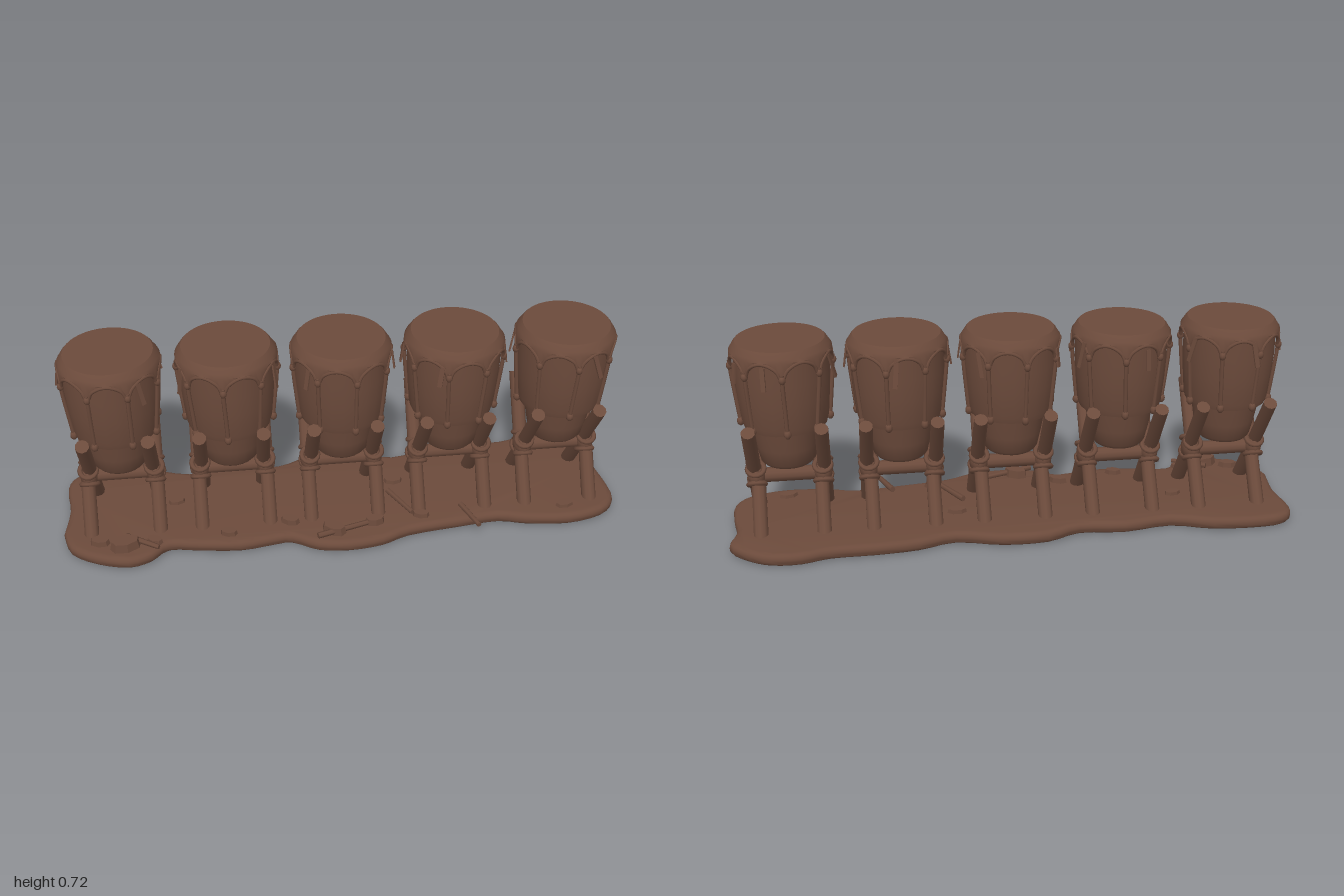
import * as THREE from 'three';
import { toCreasedNormals, mergeGeometries } from 'three/addons/utils/BufferGeometryUtils.js';

const V = (x, y, z) => new THREE.Vector3(x, y, z);
const STRAPS = 8;

// Small seeded random, for hand-made irregularity
let seed = 7;
const rand = (a, b) => {
  seed = (seed * 16807) % 2147483647;
  return a + (b - a) * (seed / 2147483647);
};

export function createModel() {
  const wood = new THREE.MeshStandardMaterial({ color: 0x6b4a3b });
  wood.name = 'dark brown';
  wood.side = THREE.DoubleSide;
  const model = new THREE.Group();
  model.name = 'drumRow';

  const add = (parent, name, geometry) => {
    const mesh = new THREE.Mesh(geometry, wood);
    mesh.name = name;
    parent.add(mesh);
    return mesh;
  };

  // Round pole between two points
  const pole = (parent, name, a, b, r0, r1 = r0, sides = 10) => {
    const mesh = add(parent, name, new THREE.CylinderGeometry(r1, r0, a.distanceTo(b), sides));
    mesh.position.copy(a).lerp(b, 0.5);
    mesh.quaternion.setFromUnitVectors(V(0, 1, 0), b.clone().sub(a).normalize());
    return mesh;
  };

  const lathe = (profile, segments) =>
    new THREE.LatheGeometry(profile.map(([r, y]) => new THREE.Vector2(r, y)), segments);

  // Point on the drum wall: angle, height, radius
  const around = (t, y, r) => V(Math.sin(t) * r, y, Math.cos(t) * r);
  const scallop = (t) => 0.628 + 0.057 * Math.pow(Math.abs(Math.sin(t * STRAPS / 2)), 0.6);

  function makeDrum() {
    const drum = new THREE.Group();
    drum.name = 'drum';

    // Tapering shell with a narrower foot
    add(drum, 'shell', toCreasedNormals(lathe([
      [0, 0.272], [0.085, 0.272], [0.096, 0.285], [0.108, 0.34], [0.12, 0.41],
      [0.143, 0.418], [0.149, 0.44], [0.157, 0.53], [0.161, 0.6], [0.16, 0.7],
    ], 24), 0.6));

    // Hide stretched over the top, its lower edge cut in arches
    const skin = lathe([
      [0.171, 0.628], [0.172, 0.69], [0.165, 0.7], [0.158, 0.712], [0.15, 0.721], [0, 0.722],
    ], 64);
    const p = skin.attributes.position;
    for (let i = 0; i < p.count; i++) {
      if (p.getY(i) < 0.65) p.setY(i, scallop(Math.atan2(p.getX(i), p.getZ(i))));
    }
    add(drum, 'skin', toCreasedNormals(skin, 0.7));

    // Rolled hem along the arches
    const hem = [];
    for (let i = 0; i < 64; i++) {
      const t = (i / 64) * Math.PI * 2;
      hem.push(around(t, scallop(t), 0.17));
    }
    add(drum, 'hem', new THREE.TubeGeometry(new THREE.CatmullRomCurve3(hem, true), 128, 0.006, 6, true));

    // Straps with knots at both ends
    const straps = [], knots = [];
    for (let i = 0; i < STRAPS; i++) {
      const t = (i / STRAPS) * Math.PI * 2;
      const sway = rand(-0.04, 0.04);
      const path = new THREE.CatmullRomCurve3([
        around(t, 0.65, 0.172), around(t, 0.6, 0.169),
        around(t + sway / 2, 0.52, 0.161), around(t + sway, 0.425, 0.151),
      ]);
      straps.push(new THREE.TubeGeometry(path, 10, 0.0075, 6));
      for (const [y, r, s, a] of [[0.632, 0.172, 0.012, t], [0.43, 0.152, 0.013, t + sway]]) {
        const k = around(a, y, r);
        knots.push(new THREE.SphereGeometry(s, 8, 6).scale(1, 1.3, 1).translate(k.x, k.y, k.z));
      }
    }
    add(drum, 'straps', mergeGeometries(straps));
    add(drum, 'knots', mergeGeometries(knots));

    // Loose ends of hide hanging from the hem
    for (let i = 0; i < 4; i++) {
      const t = (i + 0.5) * Math.PI / 2 + rand(-0.5, 0.5);
      const end = add(drum, 'looseEnd', new THREE.BoxGeometry(0.016, rand(0.06, 0.1), 0.006));
      end.position.copy(around(t, 0.635, 0.178));
      end.rotation.set(-0.15, t, rand(-0.35, 0.35), 'YXZ');
    }
    return drum;
  }

  function makeStand() {
    const stand = new THREE.Group();
    stand.name = 'stand';
    for (const side of [-1, 1]) {
      const x = side * 0.115;
      // Crossed legs, slightly offset from one another
      for (const dir of [-1, 1]) {
        const dx = x + side * dir * 0.006;
        pole(stand, 'leg', V(dx, 0.02, dir * 0.138), V(dx, 0.44, -dir * 0.143), 0.026, 0.024);
      }
      // Lashing around the crossing
      const lash = add(stand, 'lashing', new THREE.SphereGeometry(0.05, 12, 8));
      lash.scale.set(0.68, 0.95, 1.05);
      lash.position.set(x, 0.222, 0);
      for (const dir of [-1, 1]) {
        const wrap = add(stand, 'wrap', new THREE.TorusGeometry(0.029, 0.009, 6, 14));
        wrap.position.set(x, 0.222 + 0.03, dir * 0.025);
        wrap.rotation.x = Math.PI / 2 + dir * 0.6;
        const lower = wrap.clone();
        lower.position.y = 0.192;
        lower.rotation.x = Math.PI / 2 - dir * 0.6;
        stand.add(lower);
      }
    }
    pole(stand, 'crossbar', V(-0.115, 0.215, 0), V(0.115, 0.215, 0), 0.026);
    return stand;
  }

  // Five drums in a row
  for (let i = -2; i <= 2; i++) {
    const drum = makeDrum();
    drum.rotation.y = 0.2 + i * 0.31;
    const unit = new THREE.Group();
    unit.name = 'drumOnStand';
    unit.add(drum, makeStand());
    unit.position.x = i * 0.39;
    model.add(unit);
  }

  // Earth base with a wavy outline (x, z)
  const outline = [
    [-1, 0.1], [-0.97, 0.19], [-0.88, 0.25], [-0.77, 0.28], [-0.69, 0.255], [-0.63, 0.205],
    [-0.52, 0.22], [-0.38, 0.235], [-0.27, 0.22], [-0.2, 0.215], [-0.11, 0.265], [0, 0.28],
    [0.12, 0.265], [0.22, 0.225], [0.4, 0.2], [0.55, 0.185], [0.65, 0.21], [0.8, 0.225],
    [0.93, 0.195], [0.99, 0.13], [0.99, 0.03], [0.975, -0.08], [0.995, -0.17], [0.93, -0.24],
    [0.85, -0.28], [0.75, -0.285], [0.65, -0.26], [0.5, -0.258], [0.35, -0.245], [0.22, -0.21],
    [0.06, -0.25], [-0.1, -0.25], [-0.22, -0.203], [-0.38, -0.218], [-0.55, -0.195],
    [-0.7, -0.24], [-0.88, -0.25], [-0.97, -0.225], [-1, -0.16], [-0.985, -0.03],
  ];
  const shape = new THREE.Shape();
  shape.setFromPoints(new THREE.SplineCurve(
    [...outline, outline[0]].map(([x, z]) => new THREE.Vector2(x, -z))).getPoints(120).slice(0, -1));
  const ground = new THREE.ExtrudeGeometry(shape, {
    depth: 0.008, bevelThickness: 0.019, bevelSize: 0.022, bevelOffset: -0.022, bevelSegments: 4,
  }).rotateX(-Math.PI / 2).translate(0, 0.019, 0);
  add(model, 'base', toCreasedNormals(ground, 0.8));

  // Flat stones on the base: x, z, radius, top height
  for (const [x, z, r, top] of [
    [-0.78, 0.21, 0.06, 0.078], [-0.87, 0.18, 0.04, 0.065], [-0.68, 0.19, 0.035, 0.06],
    [-0.42, 0.18, 0.035, 0.062], [-0.2, 0.14, 0.04, 0.065], [-0.05, 0.21, 0.05, 0.075],
    [0.1, 0.18, 0.04, 0.07], [0.27, 0.16, 0.035, 0.062], [0.8, 0.16, 0.04, 0.058],
    [0.2, -0.05, 0.04, 0.06], [-0.6, -0.02, 0.035, 0.058],
  ]) {
    const stone = add(model, 'stone', toCreasedNormals(
      new THREE.CylinderGeometry(r * 0.8, r, top - 0.03, 7), 0.6));
    stone.position.set(x, (top + 0.03) / 2, z);
    stone.scale.z = 0.6;
    stone.rotation.y = rand(-0.5, 0.5);
  }

  // Fallen sticks
  for (const [x0, z0, x1, z1] of [
    [-0.11, 0.245, 0.12, 0.175], [0.42, 0.13, 0.465, 0.25],
    [-0.78, 0.165, -0.665, 0.235], [0.17, 0.02, 0.24, 0.15],
  ]) pole(model, 'stick', V(x0, 0.06, z0), V(x1, 0.056, z1), 0.011, 0.009, 6);

  return model;
}
